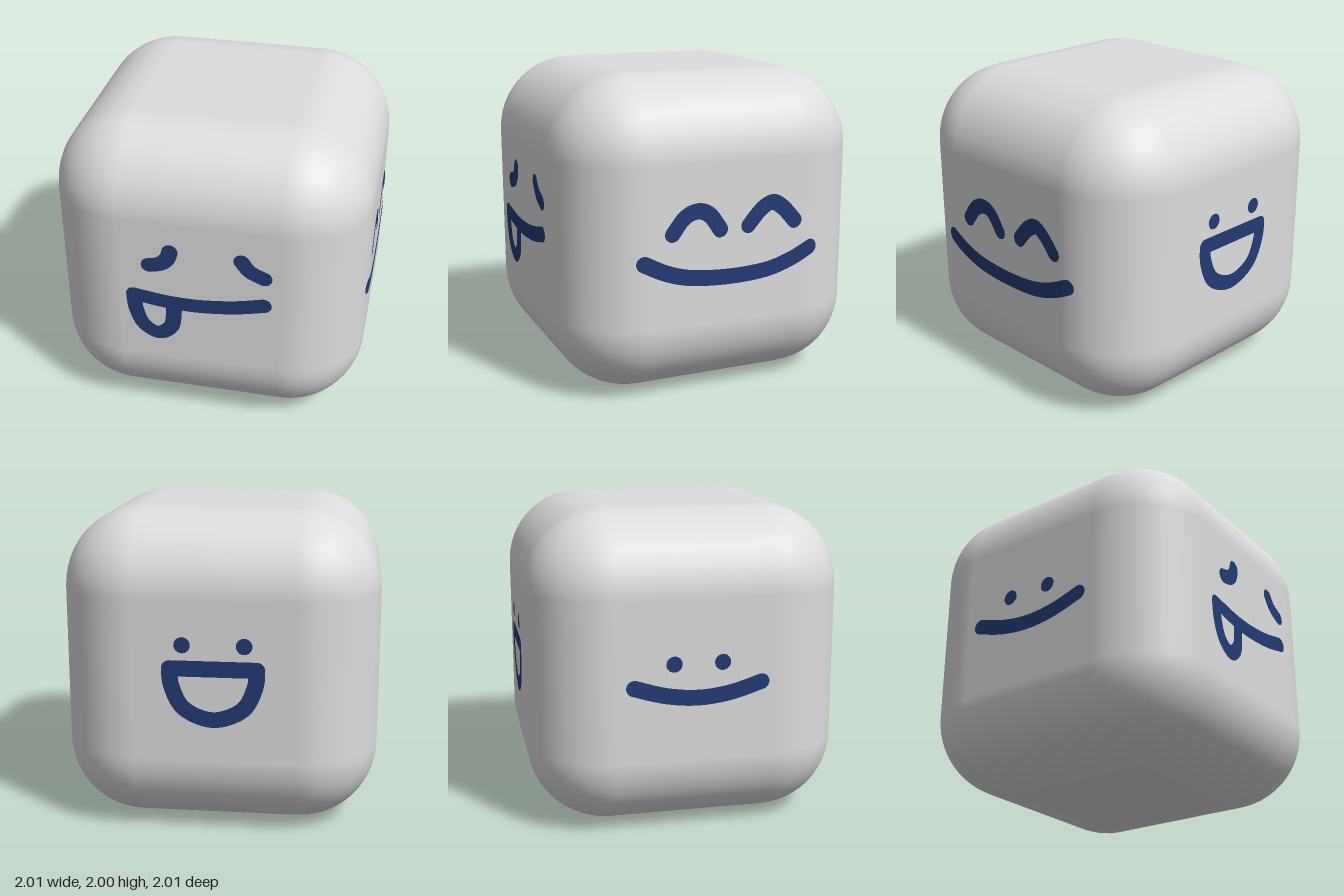
import * as THREE from 'three';
import { RoundedBoxGeometry } from 'three/addons/geometries/RoundedBoxGeometry.js';

const R = 0.5;      // edge rounding of the cube
const W = 0.05;     // half width of a painted stroke
const LIFT = 0.004; // height of the paint above the surface

// Depth of the rounded cube's front at face position (u, v), v measured from the middle.
function depth(u, v) {
  const du = Math.max(Math.abs(u) - R, 0), dv = Math.max(Math.abs(v) - R, 0);
  return R + Math.sqrt(R * R - du * du - dv * dv) + LIFT;
}

// Drape a flat geometry over the rounded face.
function drape(geometry) {
  const p = geometry.attributes.position;
  for (let i = 0; i < p.count; i++) p.setZ(i, depth(p.getX(i), p.getY(i)));
  geometry.computeVertexNormals();
  return geometry;
}

export function createModel() {
  const body = new THREE.MeshStandardMaterial({ color: 0xdddddd });
  body.name = 'light grey';
  const ink = new THREE.MeshStandardMaterial({ color: 0x233a75 });
  ink.name = 'navy';

  const model = new THREE.Group();
  model.name = 'faceCube';

  const cube = new THREE.Mesh(new RoundedBoxGeometry(2, 2, 2, 7, R), body);
  cube.name = 'cube';
  cube.position.y = 1;
  model.add(cube);

  const addMesh = (parent, name, geometry) => {
    const mesh = new THREE.Mesh(drape(geometry), ink);
    mesh.name = name;
    parent.add(mesh);
  };

  const dot = (parent, name, u, y) =>
    addMesh(parent, name, new THREE.CircleGeometry(W, 24).translate(u, y - 1, 0));

  // Round-ended brush stroke through [u, y] points.
  const stroke = (parent, name, points) => {
    const group = new THREE.Group();
    group.name = name;
    const curve = new THREE.SplineCurve(points.map(([u, y]) => new THREE.Vector2(u, y - 1)));
    const n = 40, across = 4;
    const ribbon = new THREE.PlaneGeometry(1, 1, n, across);
    const p = ribbon.attributes.position;
    for (let i = 0; i <= n; i++) {
      const c = curve.getPoint(i / n), t = curve.getTangent(i / n);
      for (let j = 0; j <= across; j++) {
        const s = W * (1 - 2 * j / across);
        p.setXY(j * (n + 1) + i, c.x - t.y * s, c.y + t.x * s);
      }
    }
    addMesh(group, name + 'Line', ribbon);
    for (const [u, y] of [points[0], points[points.length - 1]]) dot(group, name + 'End', u, y);
    parent.add(group);
  };

  const face = (name, angle) => {
    const group = new THREE.Group();
    group.name = name;
    group.position.y = 1;
    group.rotation.y = angle;
    model.add(group);
    return group;
  };

  // Front: slanted eyes, crooked mouth with tongue out
  const front = face('tongueFace', 0);
  stroke(front, 'eyeA', [[-0.305, 1.205], [-0.235, 1.225], [-0.19, 1.265], [-0.17, 1.32]]);
  stroke(front, 'eyeB', [[0.272, 1.31], [0.325, 1.245], [0.41, 1.205]]);
  stroke(front, 'mouth', [[-0.41, 0.97], [-0.2, 0.942], [0, 0.937], [0.22, 0.96], [0.41, 1.003]]);
  stroke(front, 'tongue', [[-0.41, 0.97], [-0.4, 0.86], [-0.355, 0.745], [-0.262, 0.69],
    [-0.18, 0.745], [-0.158, 0.84], [-0.155, 0.94]]);

  // +x side: happy arched eyes and wide smile
  const happy = face('happyFace', Math.PI / 2);
  stroke(happy, 'eyeA', [[-0.378, 1.085], [-0.3, 1.18], [-0.213, 1.212], [-0.135, 1.18], [-0.065, 1.085]]);
  stroke(happy, 'eyeB', [[0.125, 1.092], [0.21, 1.185], [0.288, 1.222], [0.36, 1.182], [0.443, 1.092]]);
  stroke(happy, 'smile', [[-0.558, 0.918], [-0.41, 0.845], [-0.245, 0.8], [0, 0.782],
    [0.24, 0.795], [0.41, 0.84], [0.558, 0.908]]);

  // Back: dot eyes and open laughing mouth
  const laugh = face('laughingFace', Math.PI);
  for (const s of [-1, 1]) dot(laugh, 'eye', s * 0.188, 1.23);
  stroke(laugh, 'upperLip', [[-0.265, 1.085], [0, 1.085], [0.265, 1.085]]);
  stroke(laugh, 'lowerLip', [[-0.265, 1.085], [-0.255, 0.98], [-0.19, 0.845], [-0.06, 0.775],
    [0.06, 0.775], [0.19, 0.845], [0.255, 0.98], [0.265, 1.085]]);

  // -x side: dot eyes and gentle smile
  const gentle = face('gentleFace', -Math.PI / 2);
  for (const s of [-1, 1]) dot(gentle, 'eye', s * 0.15, 1.108);
  stroke(gentle, 'smile', [[-0.395, 0.972], [-0.2, 0.915], [0, 0.893], [0.2, 0.915], [0.395, 0.972]]);

  return model;
}
